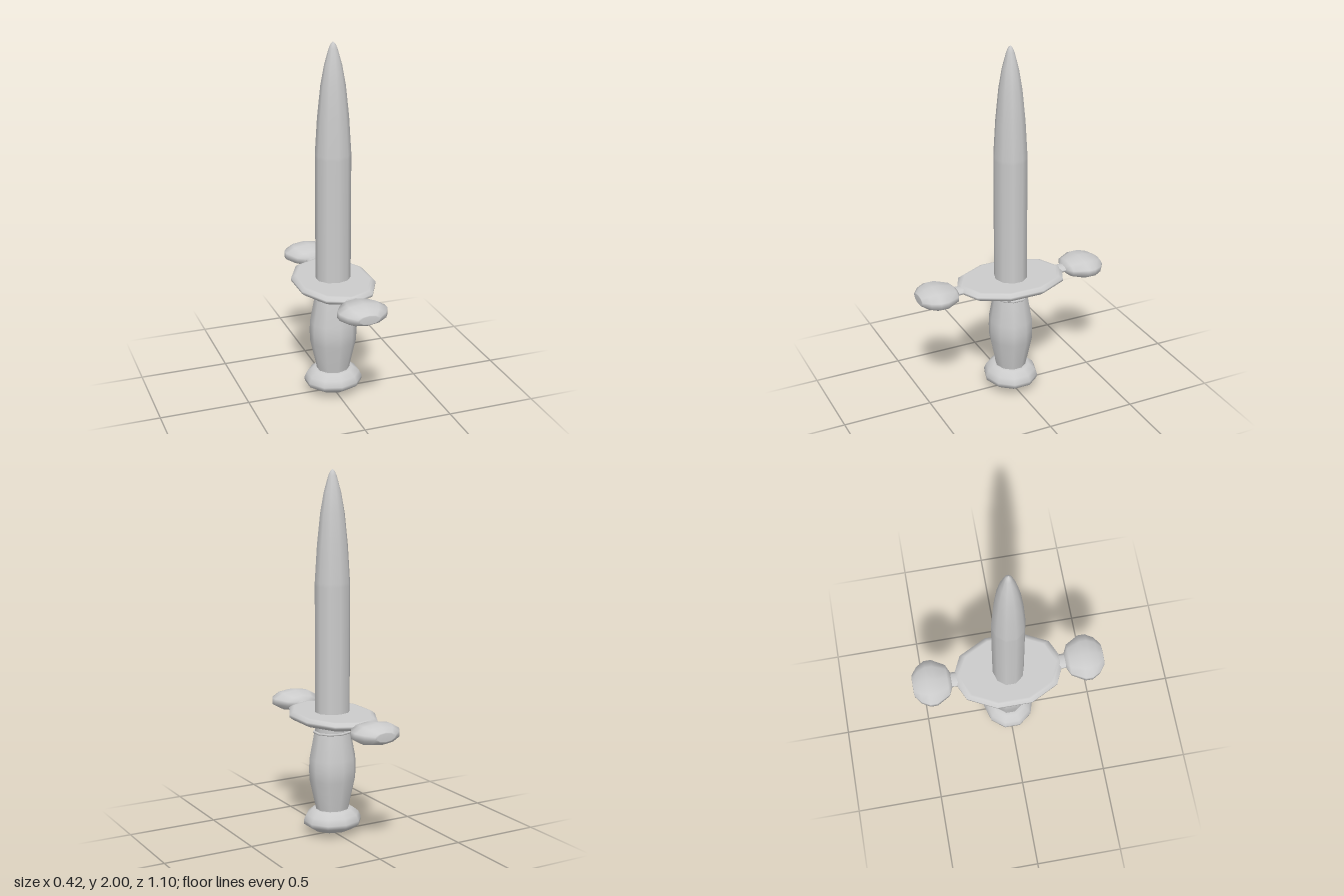
import * as THREE from 'three';

const SIDES = 10;
const MAT = new THREE.MeshStandardMaterial({ color: 0xcccccc, side: THREE.DoubleSide });
const FLAT = Math.cos(Math.PI / SIDES); // half width across flats / radius

// Ten-sided turned part; profile is [half width in x, y] from bottom to top
function turned(name, profile) {
  const points = profile.map(([w, y]) => new THREE.Vector2(w / FLAT, y));
  const mesh = new THREE.Mesh(new THREE.LatheGeometry(points, SIDES), MAT);
  mesh.name = name;
  return mesh;
}

// Turned part lying along +z, flattened in y
function turnedForward(name, profile) {
  const mesh = turned(name, profile);
  mesh.geometry.rotateX(Math.PI / 2).scale(1, 0.42, 1);
  return mesh;
}

export function createModel() {
  const model = new THREE.Group();
  model.name = 'dagger';

  // Blade, collar, grip and pommel, all slightly thinner in z
  const shaft = new THREE.Group();
  shaft.name = 'shaft';
  shaft.add(
    turned('blade', [
      [0.093, 0.57], [0.093, 1.38], [0.093, 1.4], [0.081, 1.6], [0.064, 1.77],
      [0.045, 1.88], [0.022, 1.965], [0.012, 1.988], [0, 2],
    ]),
    turned('collar', [
      [0, 0.573], [0.102, 0.574], [0.104, 0.579], [0.102, 0.584], [0, 0.585],
    ]),
    turned('grip', [
      [0.088, 0.12], [0.09, 0.15], [0.124, 0.31], [0.126, 0.37], [0.124, 0.43],
      [0.098, 0.574], [0.096, 0.576], [0, 0.576],
    ]),
    turned('pommel', [
      [0, 0.003], [0.05, 0.01], [0.11, 0.028], [0.154, 0.058], [0.156, 0.08],
      [0.142, 0.112], [0.108, 0.14], [0.08, 0.142], [0, 0.142],
    ]),
  );
  shaft.scale.z = 0.92;
  model.add(shaft);

  // Oval guard plate with a bevelled rim
  const guard = turned('guardPlate', [
    [0, 0.645], [0.185, 0.645], [0.195, 0.646], [0.212, 0.661], [0.212, 0.674],
    [0.195, 0.689], [0.185, 0.69], [0, 0.69],
  ]);
  guard.scale.z = 0.32 / (0.212 / FLAT);
  model.add(guard);

  // Flattened knob on a short neck at each end of the guard
  for (const [name, turn] of [['frontKnob', 0], ['backKnob', Math.PI]]) {
    const end = new THREE.Group();
    end.name = name;
    end.add(
      turnedForward('neck', [[0.042, 0.28], [0.042, 0.34]]),
      turnedForward('knob', [
        [0, 0.326], [0.043, 0.328], [0.09, 0.35], [0.132, 0.425], [0.132, 0.466],
        [0.106, 0.512], [0.062, 0.546], [0.05, 0.548], [0, 0.548],
      ]),
    );
    end.position.y = 0.668;
    end.rotation.y = turn;
    model.add(end);
  }
  return model;
}
